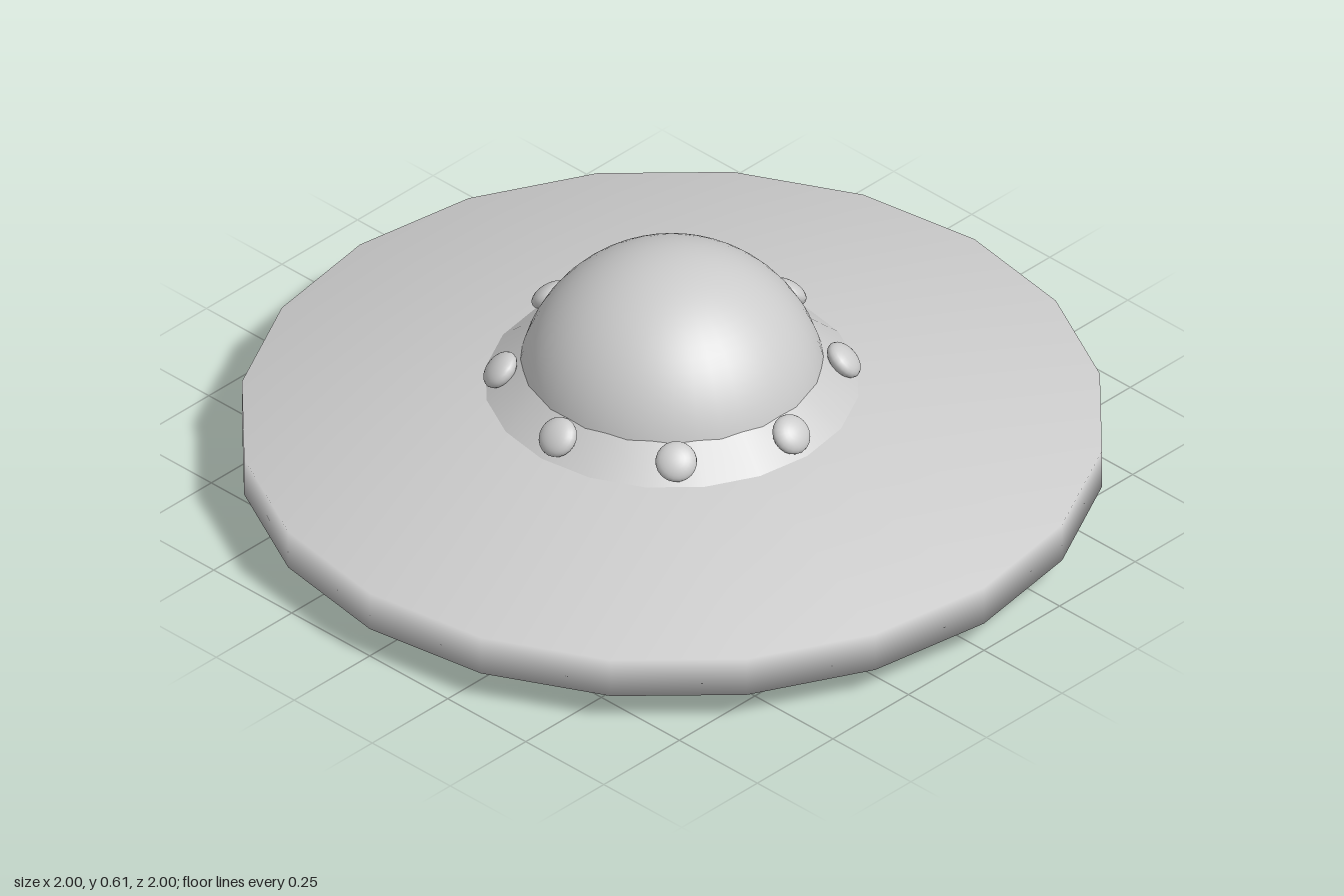
import * as THREE from 'three';

const material = new THREE.MeshStandardMaterial({ color: 0xcccccc });
const SIDES = 20;

function part(name, geometry) {
  const mesh = new THREE.Mesh(geometry, material);
  mesh.name = name;
  return mesh;
}

function lathe(name, profile) {
  const points = profile.map(([r, y]) => new THREE.Vector2(r, y));
  return part(name, new THREE.LatheGeometry(points, SIDES));
}

export function createModel() {
  const model = new THREE.Group();
  model.name = 'flyingSaucer';

  // Wide disc with a thin upright rim and a small flat belly
  model.add(lathe('hull', [[0, 0], [0.15, 0], [1, 0.075], [1, 0.175], [0.43, 0.272]]));

  // Sloping collar that carries the lights
  model.add(lathe('collar', [[0.435, 0.27], [0.345, 0.345]]));

  // Round cabin dome, its lower edge hidden inside the collar
  const dome = part('dome', new THREE.SphereGeometry(0.36, 40, 20, 0, Math.PI * 2, 0, Math.PI / 2));
  dome.position.y = 0.25;
  model.add(dome);

  // Slightly uneven ring of flattened lights, tilted to lie on the collar
  const lights = new THREE.Group();
  lights.name = 'lights';
  const lightGeometry = new THREE.SphereGeometry(1, 20, 14);
  for (const degrees of [-2, 43.5, 92, 134.5, 177.5, 222.5, 271, 314]) {
    const angle = THREE.MathUtils.degToRad(degrees);
    const light = part('light', lightGeometry);
    const out = new THREE.Vector3(Math.cos(angle), 0, Math.sin(angle));
    light.position.copy(out).multiplyScalar(0.396).setY(0.321);
    light.scale.set(0.048, 0.027, 0.048);
    light.quaternion.setFromUnitVectors(new THREE.Vector3(0, 1, 0), out.setY(1).normalize());
    lights.add(light);
  }
  model.add(lights);

  return model;
}
